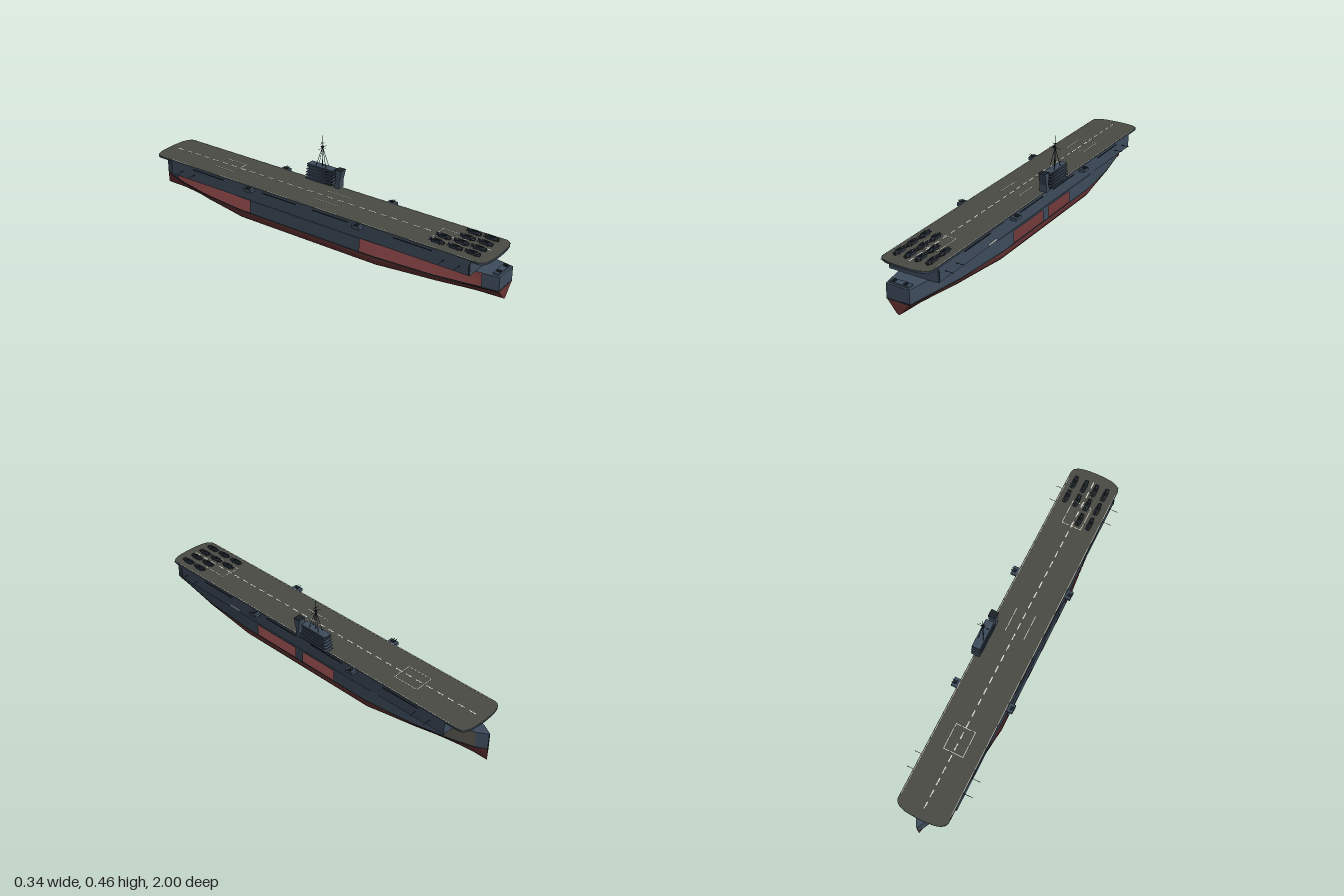
import * as THREE from 'three';
import { toCreasedNormals } from 'three/addons/utils/BufferGeometryUtils.js';

const mat = (name, color, side = THREE.FrontSide) => {
  const m = new THREE.MeshStandardMaterial({ color, side });
  m.name = name;
  return m;
};
const M = {
  hull: mat('blue grey paint', 0x3e4c5c, THREE.DoubleSide),
  red: mat('red underwater paint', 0x6a3434, THREE.DoubleSide),
  deck: mat('deck planking', 0x4b4b45),
  boot: mat('black waterline', 0x20252a, THREE.DoubleSide),
  tan: mat('drab bow panel', 0x57564d, THREE.DoubleSide),
  white: mat('white marking', 0xd6d6cc),
  dark: mat('dark metal', 0x1d232a),
  plane: mat('aircraft navy', 0x2c3745),
};

// Linear interpolation through [z, value] points
const along = (pts, z) => {
  for (let i = 1; i < pts.length; i++) {
    const [a, va] = pts[i - 1], [b, vb] = pts[i];
    if (z <= b) return va + (vb - va) * Math.max(0, (z - a) / (b - a));
  }
  return pts[pts.length - 1][1];
};
const beam = z => along([[-1, 0.003], [-0.95, 0.03], [-0.85, 0.062], [-0.65, 0.104], [-0.4, 0.131],
  [0.4, 0.131], [0.7, 0.11], [0.9, 0.076], [1, 0.06]], z);
const full = z => along([[-1, 0], [-0.75, 0.3], [-0.4, 1], [0.4, 1], [0.75, 0.5], [1, 0]], z);
const topY = z => along([[-1, 0.152], [-0.86, 0.147], [-0.84, 0.137], [1, 0.137]], z);
const KNOTS = [-1, -0.95, -0.9, -0.85, -0.75, -0.65, -0.5, -0.4, 0, 0.4, 0.5, 0.6, 0.7, 0.8, 0.9, 1];
const stations = (z0, z1) => [z0, ...KNOTS.filter(z => z > z0 + 0.001 && z < z1 - 0.001), z1];

// Skin through a list of equally long cross-sections
function loft(sections, crease = 0.5) {
  const n = sections[0].length, index = [];
  for (let i = 0; i < sections.length - 1; i++)
    for (let j = 0; j < n - 1; j++) {
      const a = i * n + j, b = a + n;
      index.push(a, b, a + 1, b, b + 1, a + 1);
    }
  const g = new THREE.BufferGeometry();
  g.setAttribute('position', new THREE.Float32BufferAttribute(sections.flat(2), 3));
  g.setIndex(index);
  g.computeVertexNormals();
  return toCreasedNormals(g, crease);
}

export function createModel() {
  const ship = new THREE.Group();
  ship.name = 'aircraftCarrier';
  const add = (name, geo, material, parent = ship) => {
    const m = new THREE.Mesh(geo, material);
    m.name = name;
    parent.add(m);
    return m;
  };
  const box = (name, w, h, d, x, y, z, material, parent) => {
    const m = add(name, new THREE.BoxGeometry(w, h, d), material, parent);
    m.position.set(x, y, z);
    return m;
  };
  const rod = (name, a, b, r, material, parent) => {
    const A = new THREE.Vector3(...a), B = new THREE.Vector3(...b), d = B.clone().sub(A);
    const m = add(name, new THREE.CylinderGeometry(r, r, d.length(), 6), material, parent);
    m.position.copy(A).add(B).multiplyScalar(0.5);
    m.quaternion.setFromUnitVectors(new THREE.Vector3(0, 1, 0), d.normalize());
    return m;
  };

  // Underwater hull: full sections amidships, V sections at the ends
  const fullX = [0, 0.4, 0.72, 0.88, 0.96, 1, 1], fullY = [0, 0.006, 0.011, 0.021, 0.034, 0.05, 0.066];
  const veeX = [0, 0.2, 0.4, 0.58, 0.74, 0.88, 1], veeY = [0.002, 0.01, 0.024, 0.037, 0.049, 0.059, 0.066];
  const section = z => {
    const half = fullX.map((x, i) => [
      THREE.MathUtils.lerp(veeX[i], x, full(z)) * beam(z),
      THREE.MathUtils.lerp(veeY[i], fullY[i], full(z)), z]);
    return [...half.slice(1).reverse().map(([x, y]) => [-x, y, z]), ...half];
  };
  add('underwaterHull', loft(stations(-1, 1).map(section)), M.red);
  add('underwaterTransom', loft([section(1), section(1).map(([x, , z]) => [x, 0.066, z])]), M.red);

  // Side walls follow the beam; openings are left between the runs
  const wall = (name, s, z0, z1, material, y0 = 0.07, y1 = null, out = 0) =>
    add(name, loft(stations(z0, z1).map(z => [
      [s * (beam(z) + out), y0, z], [s * (beam(z) + out), y1 ?? topY(z), z]])), material);
  for (const s of [-1, 1]) wall('waterline', s, -1, 1, M.boot, 0.063, 0.071, 0.0006);
  wall('bowPanel', 1, -0.95, -0.81, M.tan);
  for (const [z0, z1] of [[-1, -0.95], [-0.81, -0.2], [0, 0.05], [0.31, 1]]) wall('leftSide', 1, z0, z1, M.hull);
  wall('leftOpeningLintel', 1, -0.2, 0.31, M.hull, 0.128);
  for (const [z0, z1] of [[-1, -0.88], [-0.33, 0.32], [0.92, 1]]) wall('rightSide', -1, z0, z1, M.hull);
  box('transom', 0.12, 0.072, 0.002, 0, 0.101, 0.999, M.hull);
  box('transomWaterline', 0.12, 0.007, 0.002, 0, 0.067, 0.9995, M.boot);
  add('weatherDeck', loft(stations(-1, 1).map(z => [[-beam(z), topY(z), z], [beam(z), topY(z), z]])), M.hull);

  // Hangar
  box('hangar', 0.254, 0.073, 1.74, 0, 0.1725, 0.02, M.hull);
  box('hangarSternDoor', 0.04, 0.012, 0.004, 0, 0.2, 0.891, M.dark);
  box('whiteSideMark', 0.002, 0.006, 0.065, 0.1275, 0.147, 0.48, M.white);
  for (const s of [-1, 1]) {
    for (let i = 0; i < 8; i++)
      box('ladderRung', 0.005, 0.002, 0.004, s * 0.128, 0.143 + i * 0.007, 0.885, M.dark);
    for (const [z, dz] of [[0.89, 0.06], [-0.85, -0.06]])
      rod('deckBrace', [s * 0.075, 0.185, z], [s * 0.122, 0.207, z + dz], 0.0018, M.dark);
    for (const z of [-0.6, -0.15, 0.15, 0.6])
      box('catwalk', 0.004, 0.003, 0.2, s * 0.129, 0.198, z, M.dark);
  }

  // Flight deck slab with rounded ends
  const outline = e => {
    const w = 0.13 - e, p = new THREE.Shape();
    p.moveTo(-w, -0.92);
    p.quadraticCurveTo(-w, -0.955 + e, -0.075, -0.965 + e);
    p.quadraticCurveTo(0, -0.975 + e, 0.075, -0.965 + e);
    p.quadraticCurveTo(w, -0.955 + e, w, -0.92);
    p.lineTo(w, 0.92);
    p.quadraticCurveTo(w, 0.955 - e, 0.075, 0.965 - e);
    p.quadraticCurveTo(0, 0.975 - e, -0.075, 0.965 - e);
    p.quadraticCurveTo(-w, 0.955 - e, -w, 0.92);
    return p;
  };
  const slab = (name, e, y, depth, material) => {
    const g = new THREE.ExtrudeGeometry(outline(e), { depth, bevelEnabled: false, curveSegments: 8 });
    add(name, g.rotateX(-Math.PI / 2), material).position.y = y;
  };
  slab('deckSlab', 0, 0.206, 0.0075, M.hull);
  slab('flightDeck', 0.002, 0.2135, 0.0015, M.deck);

  // Deck markings
  const mark = (name, x, z, w, d) => box(name, w, 0.0008, d, x, 0.2154, z, M.white);
  for (let i = 0; i < 31; i++) mark('centreDash', 0, -0.9 + i * 0.06, 0.006, 0.035);
  for (const s of [-1, 1]) {
    mark('edgeLine', s * 0.125, 0, 0.002, 1.8);
    mark('middleLiftLine', s * 0.05, 0.075, 0.003, 0.13);
    for (const z of [-0.565, 0.715]) {
      mark('liftSideLine', s * 0.05, z, 0.003, 0.13);
      mark('liftEndLine', 0, z + s * 0.065, 0.103, 0.003);
    }
  }

  // Gun sponsons and folded aerials along both edges
  for (const s of [-1, 1]) {
    for (const z of [-0.32, 0.315]) {
      box('sponson', 0.034, 0.016, 0.044, s * 0.143, 0.203, z, M.hull);
      box('gunMount', 0.016, 0.006, 0.018, s * 0.147, 0.213, z, M.dark);
      for (const d of [-0.006, 0.006])
        rod('gunBarrel', [s * 0.145, 0.213, z + d], [s * 0.165, 0.217, z + d], 0.0012, M.dark);
    }
    for (const z of [-0.77, -0.69, 0.76, 0.84])
      rod('aerial', [s * 0.125, 0.172, z], [s * 0.17, 0.172, z], 0.0012, M.dark);
  }
  box('sternGunTub', 0.1, 0.008, 0.03, 0, 0.141, 0.975, M.hull);
  for (const s of [-1, 1]) box('sternGun', 0.01, 0.008, 0.02, s * 0.03, 0.149, 0.98, M.dark);

  // Island: tower with sloping galleries, and a flared funnel
  const island = new THREE.Group();
  island.name = 'island';
  ship.add(island);
  box('tower', 0.036, 0.08, 0.135, 0.121, 0.255, -0.078, M.hull, island);
  for (let i = 0; i < 5; i++) {
    const gallery = box('gallery', 0.046, 0.005, 0.168 - i * 0.005, 0.121, 0.226 + i * 0.016, -0.08, M.hull, island);
    gallery.rotation.x = -0.05;
    box('galleryShade', 0.039, 0.004, 0.142, 0.121, 0.221 + i * 0.016, -0.078, M.dark, island);
  }
  box('towerRoof', 0.042, 0.006, 0.15, 0.121, 0.297, -0.078, M.hull, island);
  const ring = (y, z0, z1, w) => [[0.121 - w, y, z1], [0.121 + w, y, z1], [0.121 + w, y, z0], [0.121 - w, y, z0], [0.121 - w, y, z1]];
  const flare = [ring(0.215, 0.004, 0.036, 0.02), ring(0.25, 0.017, 0.036, 0.018), ring(0.31, 0.012, 0.05, 0.019)];
  add('funnel', loft(flare, 0.1), M.hull, island);
  box('funnelMouth', 0.037, 0.002, 0.037, 0.121, 0.309, 0.031, M.dark, island);
  box('searchlight', 0.01, 0.004, 0.006, 0.094, 0.288, -0.03, M.dark, island);

  // Tripod mast
  const mz = -0.075;
  rod('mastPole', [0.12, 0.3, mz], [0.12, 0.46, mz], 0.0016, M.dark, island);
  for (const [dx, dz] of [[-0.013, 0.03], [0.013, 0.03], [-0.013, -0.03], [0.013, -0.03]])
    rod('mastLeg', [0.12 + dx, 0.298, mz + dz], [0.12, 0.4, mz], 0.0013, M.dark, island);
  for (const [y, w] of [[0.397, 0.031], [0.405, 0.01], [0.42, 0.016]]) {
    rod('mastYard', [0.12 - w, y, mz], [0.12 + w, y, mz], 0.001, M.dark, island);
    rod('mastSpreader', [0.12, y, mz - w * 0.5], [0.12, y, mz + w * 0.5], 0.001, M.dark, island);
  }
  box('mastTop', 0.01, 0.004, 0.01, 0.12, 0.402, mz, M.dark, island);

  // Parked aircraft with folded wings
  const spot = (x, z) => {
    const p = new THREE.Group();
    p.name = 'aircraft';
    p.position.set(x, 0.2245, z);
    ship.add(p);
    const body = add('fuselage', new THREE.CylinderGeometry(0.008, 0.003, 0.07, 10), M.plane, p);
    body.rotation.x = Math.PI / 2;
    const cowl = add('cowling', new THREE.CylinderGeometry(0.008, 0.0095, 0.012, 10), M.dark, p);
    cowl.rotation.x = Math.PI / 2;
    cowl.position.z = 0.03;
    box('canopy', 0.006, 0.006, 0.018, 0, 0.007, 0.006, M.dark, p);
    box('tailplane', 0.024, 0.0015, 0.008, 0, 0.002, -0.031, M.plane, p);
    box('fin', 0.0015, 0.009, 0.009, 0, 0.006, -0.031, M.plane, p);
    for (const s of [-1, 1]) {
      box('foldedWing', 0.0025, 0.011, 0.04, s * 0.0105, 0.001, -0.002, M.plane, p);
      box('wheel', 0.002, 0.005, 0.005, s * 0.008, -0.0065, 0.018, M.dark, p);
      box('wingMark', 0.005, 0.0012, 0.004, s * 0.012, 0.004, 0.034, M.white, p);
    }
  };
  [-0.08, -0.025, 0.031, 0.087].forEach((x, i) => {
    for (const z of [0.695, 0.785, 0.872].slice(i < 2 ? 0 : 1)) spot(x, z);
  });

  return ship;
}
